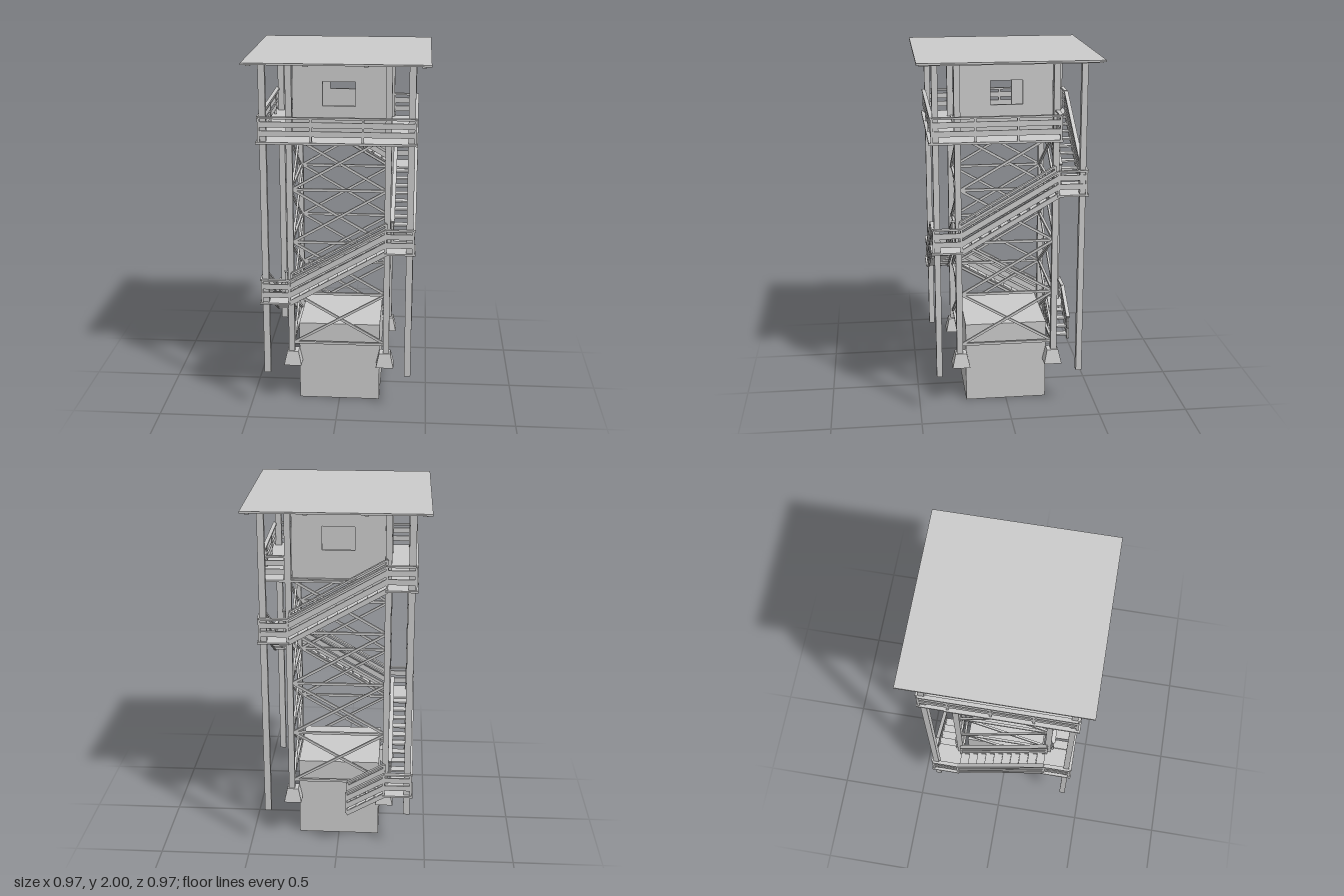
import * as THREE from 'three';

const mat = new THREE.MeshStandardMaterial({ color: 0xcccccc, flatShading: true });
const V = (x, y, z) => new THREE.Vector3(x, y, z);
const UP = V(0, 1, 0);

function add(parent, name, geometry) {
  const mesh = new THREE.Mesh(geometry, mat);
  mesh.name = name;
  parent.add(mesh);
  return mesh;
}

// Box given by its minimum and maximum corners
function block(parent, name, x0, y0, z0, x1, y1, z1) {
  const m = add(parent, name, new THREE.BoxGeometry(x1 - x0, y1 - y0, z1 - z0));
  m.position.set((x0 + x1) / 2, (y0 + y1) / 2, (z0 + z1) / 2);
}

// Straight timber from a to b in the parent's frame, staying upright on slopes
function beam(parent, name, a, b, width, height) {
  const m = add(parent, name, new THREE.BoxGeometry(width, height, a.distanceTo(b)));
  m.position.copy(a).add(b).multiplyScalar(0.5);
  m.quaternion.setFromRotationMatrix(new THREE.Matrix4().lookAt(b, a, UP));
}

function namedGroup(parent, name) {
  const g = new THREE.Group();
  g.name = name;
  parent.add(g);
  return g;
}

// Railing between two deck points: cap, two boards and small posts
function railing(parent, a, b, posts = 2) {
  const g = namedGroup(parent, 'railing');
  const lift = (p, h) => p.clone().setY(p.y + h);
  beam(g, 'handrail', lift(a, 0.128), lift(b, 0.128), 0.022, 0.01);
  beam(g, 'upperBoard', lift(a, 0.092), lift(b, 0.092), 0.008, 0.03);
  beam(g, 'lowerBoard', lift(a, 0.044), lift(b, 0.044), 0.008, 0.03);
  for (let i = 0; i < posts; i++) {
    const p = a.clone().lerp(b, i / (posts - 1));
    block(g, 'railingPost', p.x - 0.006, p.y, p.z - 0.006, p.x + 0.006, p.y + 0.125, p.z + 0.006);
  }
}

const IN = 0.295, OUT = 0.412, END = 0.262, SLOPE = 0.303 / (2 * END);

// Flight on the front side climbing towards +x, with the corner landing at its top
function flight(parent, topY, length, quarterTurns, steps) {
  const g = namedGroup(parent, 'stairFlight');
  g.rotation.y = quarterTurns * Math.PI / 2;
  const rise = length * SLOPE, x0 = END - length, y0 = topY - rise;
  for (const z of [IN, OUT]) {
    railing(g, V(x0, y0, z), V(END, topY, z));
    beam(g, 'stringer', V(x0, y0 - 0.004, z), V(END, topY - 0.004, z), 0.012, 0.026);
  }
  for (let i = 0; i < steps; i++) {
    const t = (i + 0.5) / steps, x = x0 + t * length, y = y0 + t * rise;
    block(g, 'tread', x - 0.025, y - 0.007, IN, x + 0.025, y + 0.002, OUT);
  }
  block(g, 'landing', 0.255, topY - 0.01, 0.255, 0.425, topY, 0.425);
  railing(g, V(END, topY, OUT), V(OUT, topY, OUT));
  railing(g, V(OUT, topY, OUT), V(OUT, topY, END));
}

// Cabin wall with a window, or with a doorway reaching the floor
function wall(parent, quarterTurns, door) {
  const half = 0.25, y0 = 1.57, y1 = 1.99, w = 0.087, top = 1.865, sill = 1.735;
  const s = new THREE.Shape();
  s.moveTo(-half, y0);
  if (door) s.lineTo(-w, y0).lineTo(-w, top).lineTo(w, top).lineTo(w, y0);
  s.lineTo(half, y0).lineTo(half, y1).lineTo(-half, y1).closePath();
  if (!door) {
    const hole = new THREE.Path();
    hole.moveTo(-w, sill).lineTo(-w, top).lineTo(w, top).lineTo(w, sill).closePath();
    s.holes.push(hole);
  }
  const geo = new THREE.ExtrudeGeometry(s, { depth: 0.016, bevelEnabled: false });
  geo.translate(0, 0, half - 0.016);
  add(parent, door ? 'doorWall' : 'windowWall', geo).rotation.y = quarterTurns * Math.PI / 2;
}

export function createModel() {
  const tower = new THREE.Group();
  tower.name = 'watchTower';

  block(tower, 'foundationBlock', -0.23, 0, -0.23, 0.23, 0.467, 0.23);

  // Legs, footings and outer posts at the four corners
  for (const sx of [-1, 1]) for (const sz of [-1, 1]) {
    const leg = add(tower, 'towerLeg', new THREE.BoxGeometry(0.034, 1.75, 0.034));
    leg.position.set(sx * 0.268, 1.113, sz * 0.268);
    const post = add(tower, 'outerPost', new THREE.BoxGeometry(0.036, 1.75, 0.032));
    post.position.set(sx * 0.392, 1.113, sz * 0.392);
    const foot = new THREE.CylinderGeometry(0.032 * Math.SQRT2, 0.05 * Math.SQRT2, 0.08, 4);
    foot.rotateY(Math.PI / 4);
    add(tower, 'footing', foot).position.set(sx * 0.262, 0.277, sz * 0.262);
  }

  // Cross bracing, the same on every side
  const levels = [0.362, 0.665, 0.968, 1.271, 1.574];
  for (let k = 0; k < 4; k++) {
    const g = namedGroup(tower, 'bracing');
    g.rotation.y = k * Math.PI / 2;
    levels.forEach((y, i) => {
      beam(g, 'tieBeam', V(-0.265, y, 0.262), V(0.265, y, 0.262), 0.014, 0.014);
      const next = levels[i + 1];
      if (!next) return;
      beam(g, 'brace', V(-0.26, y, 0.268), V(0.26, next, 0.268), 0.012, 0.014);
      beam(g, 'brace', V(0.26, y, 0.256), V(-0.26, next, 0.256), 0.012, 0.014);
    });
  }

  // Stairs winding up round the tower, starting with a short flight at the back
  flight(tower, levels[0], 0.21, -2, 4);
  for (let i = 0; i < 4; i++) flight(tower, levels[i + 1], 2 * END, i - 1, 10);

  // Gallery floor and railings
  block(tower, 'galleryFloor', -0.428, 1.562, -0.28, 0.424, 1.574, 0.428);
  const y = levels[4];
  railing(tower, V(-OUT, y, OUT), V(OUT, y, OUT), 4);
  railing(tower, V(OUT, y, OUT), V(OUT, y, -0.27), 4);
  railing(tower, V(OUT, y, -0.27), V(0.285, y, -0.27));
  railing(tower, V(-OUT, y, -END), V(-OUT, y, OUT), 4);

  // Cabin: doorway on the -x side, windows on the others
  const cabin = namedGroup(tower, 'cabin');
  for (let k = 0; k < 4; k++) wall(cabin, k, k === 3);

  // Roof slab on four rafters running front to back
  block(tower, 'roof', -0.487, 1.99, -0.487, 0.487, 2, 0.487);
  for (const x of [-0.45, -0.155, 0.155, 0.45])
    block(tower, 'rafter', x - 0.012, 1.982, -0.475, x + 0.012, 1.991, 0.475);

  return tower;
}
